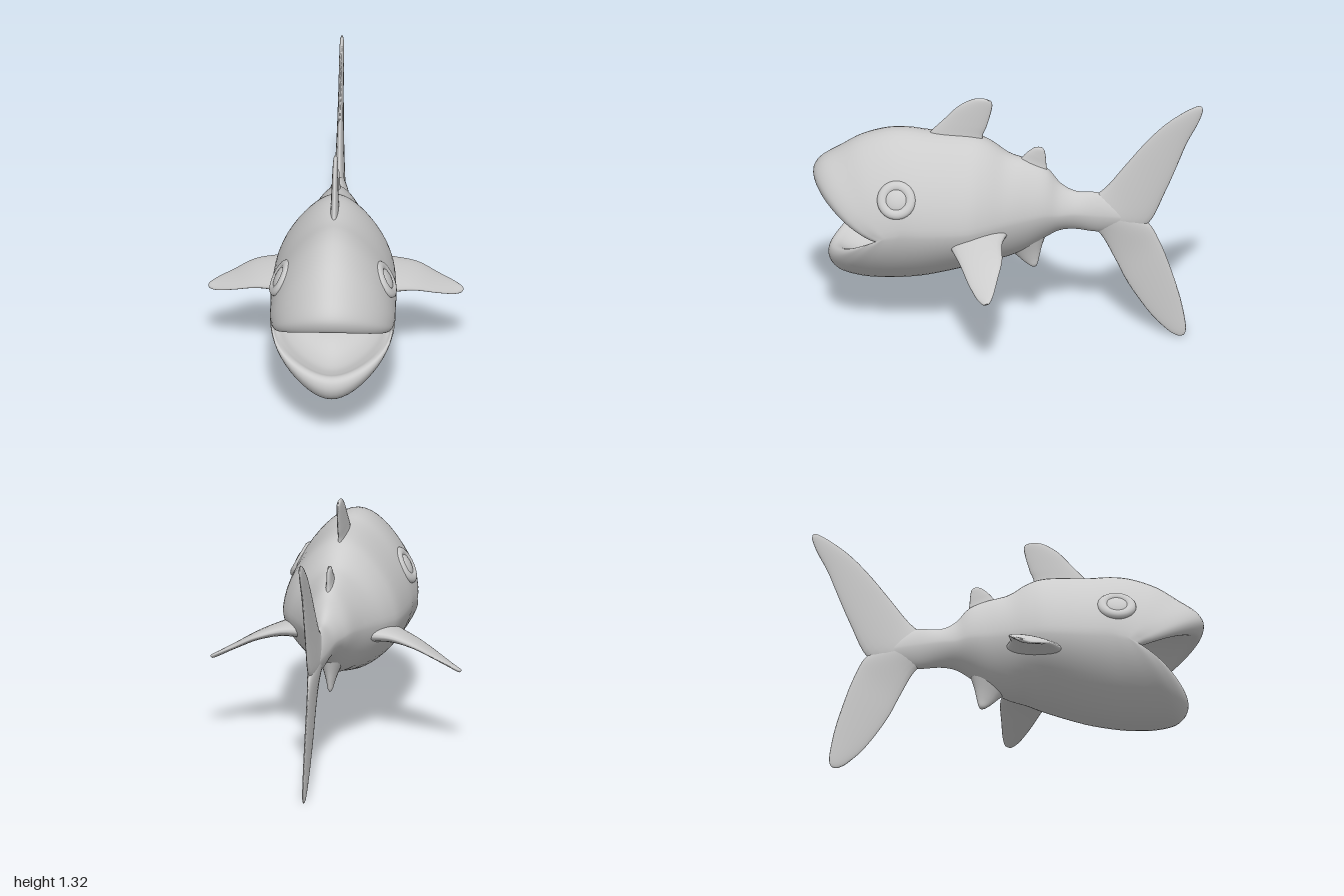
import * as THREE from 'three';

const material = new THREE.MeshStandardMaterial({ color: 0xcccccc, side: THREE.DoubleSide });

// Catmull-Rom value between p1 and p2
function catmull(p0, p1, p2, p3, t) {
  const cubic = 3 * (p1 - p2) + p3 - p0;
  const square = 2 * p0 - 5 * p1 + 4 * p2 - p3;
  return p1 + 0.5 * t * (p2 - p0 + t * (square + t * cubic));
}

// Smooth a list of number rows
function smoothRows(rows, steps) {
  const out = [];
  const last = rows.length - 1;
  for (let j = 0; j < last; j++) {
    const a = rows[Math.max(j - 1, 0)], b = rows[j], c = rows[j + 1], d = rows[Math.min(j + 2, last)];
    for (let s = 0; s < steps; s++) {
      out.push(b.map((v, k) => catmull(a[k], v, c[k], d[k], s / steps)));
    }
  }
  out.push(rows[last]);
  return out;
}

// Skin a list of closed rings of Vector3
function loft(name, rings) {
  const m = rings[0].length;
  const index = [];
  for (let j = 0; j < rings.length - 1; j++) {
    for (let i = 0; i < m; i++) {
      const a = j * m + i, b = j * m + (i + 1) % m;
      index.push(a, a + m, b, b, a + m, b + m);
    }
  }
  const geometry = new THREE.BufferGeometry().setFromPoints(rings.flat());
  geometry.setIndex(index);
  geometry.computeVertexNormals();
  const mesh = new THREE.Mesh(geometry, material);
  mesh.name = name;
  return mesh;
}

// Ring through a top point, two side points and a bottom point, narrowed to a ridge above and a keel below
function bodyRing([yt, zt, x, ys, zs, yb, zb]) {
  const ring = [];
  for (let i = 0; i < 56; i++) {
    const a = i / 56 * Math.PI * 2;
    const c = Math.cos(a), k = Math.abs(c);
    const y = c > 0 ? yt : yb, z = c > 0 ? zt : zb;
    const pinch = 1 - 0.21 * k * k * k;
    ring.push(new THREE.Vector3(x * Math.sin(a) * pinch, ys + (y - ys) * Math.pow(k, 1.25), zs + (z - zs) * k));
  }
  return ring;
}

// Fin from stations: leading x,y,z, trailing x,y,z, half thickness
function fin(name, stations) {
  const mid = (s) => new THREE.Vector3(s[0] + s[3], s[1] + s[4], s[2] + s[5]).multiplyScalar(0.5);
  const span = mid(stations[stations.length - 1]).sub(mid(stations[0]));
  const rings = smoothRows(stations, 5).map((s) => {
    const centre = mid(s);
    const half = new THREE.Vector3(s[0], s[1], s[2]).sub(centre);
    const normal = half.clone().cross(span).normalize();
    return Array.from({ length: 20 }, (_, i) => {
      const a = i / 20 * Math.PI * 2;
      return centre.clone().addScaledVector(half, Math.cos(a)).addScaledVector(normal, s[6] * Math.sin(a));
    });
  });
  return loft(name, rings);
}

// Fin lying in the middle plane: leading z,y, trailing z,y, half thickness
const midFin = (name, rows) => fin(name, rows.map(([z1, y1, z2, y2, t]) => [0, y1, z1, 0, y2, z2, t]));

export function createModel() {
  const group = new THREE.Group();

  // Body from the tail to the lips, then folding back into the mouth
  // Columns: top y, top z, half width, side y, side z, bottom y, bottom z
  const straight = [
    [0.67, -0.68, 0.008, 0.65, 0.62], [0.75, -0.56, 0.035, 0.67, 0.59], [0.79, -0.46, 0.053, 0.68, 0.57],
    [0.79, -0.35, 0.07, 0.69, 0.58], [0.83, -0.27, 0.092, 0.69, 0.57], [0.91, -0.2, 0.125, 0.7, 0.53],
    [0.955, -0.1, 0.165, 0.69, 0.46], [0.985, 0, 0.215, 0.68, 0.41], [1.05, 0.1, 0.27, 0.67, 0.385],
    [1.08, 0.2, 0.305, 0.66, 0.35], [1.085, 0.4, 0.32, 0.65, 0.29],
  ].map(([yt, z, x, ys, yb]) => [yt, z, x, ys, z, yb, z]);
  const head = [
    [1.095, 0.52, 0.32, 0.65, 0.5, 0.265, 0.55],
    [1.085, 0.63, 0.32, 0.64, 0.54, 0.26, 0.65],
    [1.04, 0.76, 0.32, 0.63, 0.58, 0.265, 0.75],
    [0.97, 0.87, 0.32, 0.62, 0.6, 0.29, 0.85],
    [0.91, 0.96, 0.315, 0.61, 0.62, 0.33, 0.9],
    [0.85, 0.998, 0.31, 0.6, 0.635, 0.38, 0.92],
    [0.785, 0.985, 0.3, 0.59, 0.64, 0.425, 0.91],
    [0.762, 0.95, 0.29, 0.58, 0.63, 0.44, 0.875],
  ];
  const mouth = [
    [0.78, 0.88, 0.275, 0.58, 0.61, 0.42, 0.82],
    [0.795, 0.77, 0.25, 0.58, 0.57, 0.4, 0.73],
    [0.78, 0.65, 0.2, 0.58, 0.53, 0.42, 0.63],
    [0.7, 0.55, 0.12, 0.58, 0.51, 0.48, 0.55],
    [0.585, 0.5, 0.001, 0.58, 0.5, 0.575, 0.5],
  ];
  group.add(loft('bodyAndMouth', smoothRows([...straight, ...head, ...mouth], 4).map(bodyRing)));

  // Back fins
  group.add(midFin('frontDorsalFin', [
    [0.46, 1.0, 0.08, 0.96, 0.035], [0.4, 1.085, 0.13, 1.06, 0.022], [0.33, 1.16, 0.11, 1.13, 0.018],
    [0.26, 1.235, 0.09, 1.2, 0.015], [0.19, 1.28, 0.08, 1.25, 0.012], [0.14, 1.29, 0.085, 1.275, 0.008],
    [0.11, 1.287, 0.1, 1.282, 0.001],
  ]));
  group.add(midFin('rearDorsalFin', [
    [-0.03, 0.91, -0.22, 0.84, 0.035], [-0.07, 0.965, -0.2, 0.92, 0.018], [-0.1, 1.0, -0.195, 0.975, 0.014],
    [-0.135, 1.027, -0.188, 1.015, 0.01], [-0.16, 1.033, -0.175, 1.03, 0.001],
  ]));

  // Belly fin
  group.add(midFin('bellyFin', [
    [0.02, 0.46, -0.2, 0.55, 0.06], [-0.04, 0.415, -0.175, 0.47, 0.035], [-0.08, 0.38, -0.162, 0.41, 0.02],
    [-0.115, 0.355, -0.153, 0.37, 0.012], [-0.135, 0.348, -0.145, 0.352, 0.001],
  ]));

  // Forked tail
  group.add(midFin('upperTailLobe', [
    [-0.4, 0.74, -0.6, 0.6, 0.035], [-0.5, 0.82, -0.72, 0.63, 0.027], [-0.6, 0.95, -0.81, 0.82, 0.019],
    [-0.7, 1.08, -0.87, 0.97, 0.015], [-0.8, 1.19, -0.92, 1.1, 0.013], [-0.9, 1.27, -0.975, 1.21, 0.012],
    [-0.965, 1.308, -1.0, 1.28, 0.009], [-0.99, 1.315, -0.998, 1.307, 0.001],
  ]));
  group.add(midFin('lowerTailLobe', [
    [-0.4, 0.62, -0.6, 0.7, 0.035], [-0.48, 0.55, -0.72, 0.635, 0.026], [-0.55, 0.42, -0.78, 0.53, 0.015],
    [-0.62, 0.28, -0.83, 0.4, 0.012], [-0.73, 0.12, -0.885, 0.22, 0.01], [-0.82, 0.03, -0.912, 0.08, 0.009],
    [-0.865, 0.003, -0.912, 0.025, 0.006], [-0.887, 0.0, -0.9, 0.005, 0.001],
  ]));

  // Paired side fins and eyes
  for (const [side, label] of [[1, 'left'], [-1, 'right']]) {
    group.add(fin(label + 'SideFin', [
      [0.2, 0.58, 0.3, 0.14, 0.62, -0.03, 0.06], [0.31, 0.56, 0.245, 0.28, 0.61, -0.005, 0.036],
      [0.41, 0.535, 0.195, 0.41, 0.575, -0.02, 0.022], [0.52, 0.487, 0.14, 0.52, 0.517, -0.008, 0.015],
      [0.6, 0.45, 0.09, 0.6, 0.475, 0.002, 0.012], [0.64, 0.438, 0.055, 0.64, 0.452, 0.015, 0.01],
      [0.65, 0.443, 0.04, 0.65, 0.447, 0.028, 0.001],
    ].map(([x1, y1, z1, x2, y2, z2, t]) => [side * x1, y1, z1, side * x2, y2, z2, t])));

    const eye = new THREE.Group();
    eye.name = label + 'Eye';
    const rim = new THREE.Mesh(new THREE.TorusGeometry(0.072, 0.028, 14, 36), material);
    rim.name = label + 'EyeRim';
    rim.scale.z = 0.8;
    const ball = new THREE.Mesh(new THREE.SphereGeometry(0.065, 28, 18), material);
    ball.name = label + 'Eyeball';
    ball.scale.z = 0.4;
    eye.add(rim, ball);
    eye.position.set(side * 0.268, 0.82, 0.54);
    eye.lookAt(side * 1.168, 1.3, 0.56);
    group.add(eye);
  }
  return group;
}
